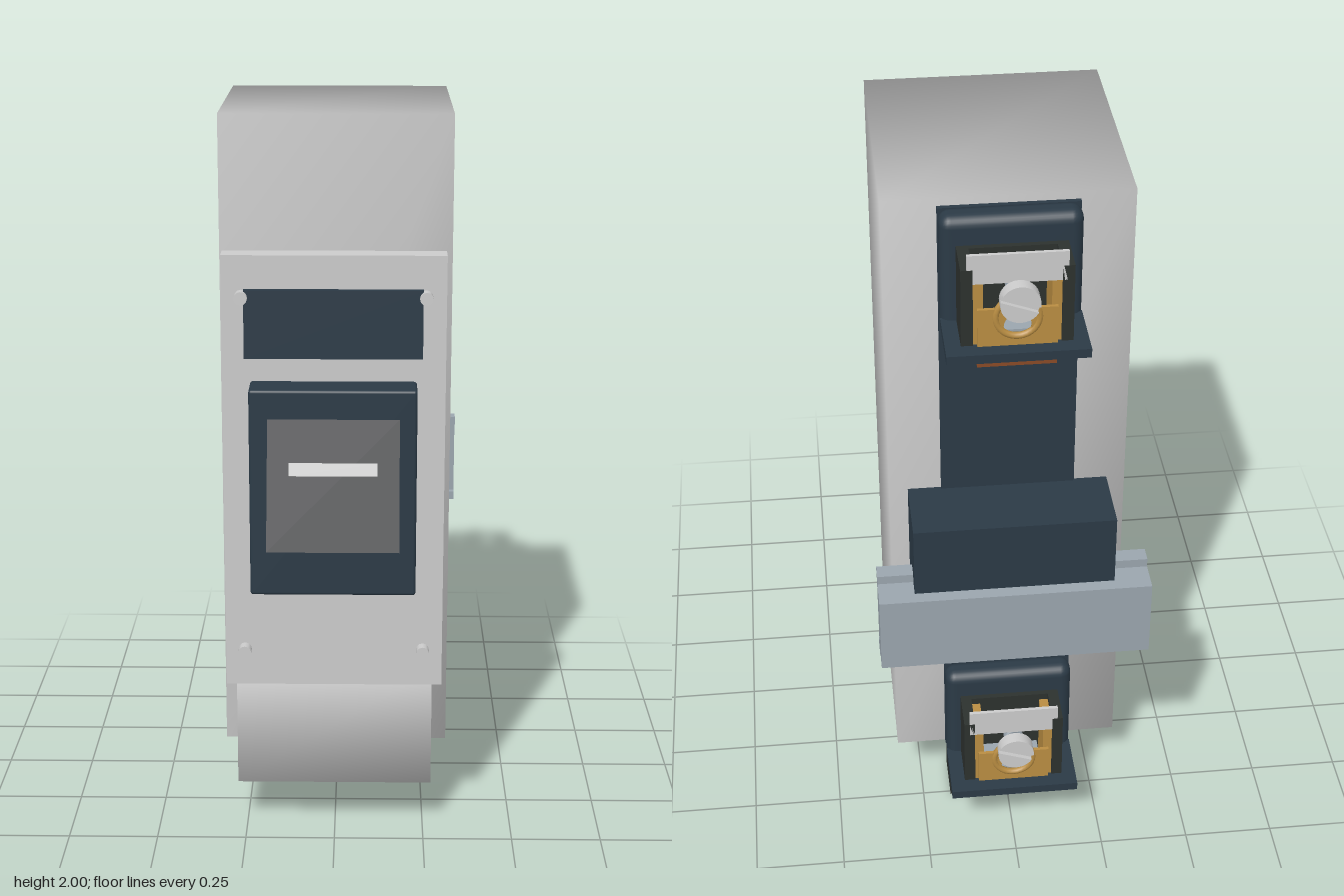
import * as THREE from 'three';
import { mergeVertices } from 'three/addons/utils/BufferGeometryUtils.js';
import { RoundedBoxGeometry } from 'three/addons/geometries/RoundedBoxGeometry.js';

const paint = (color) => new THREE.MeshStandardMaterial({ color });
const grey = paint(0xcccccc);
const navy = paint(0x2b3a46);
const black = paint(0x181b22);
const charcoal = paint(0x2c312e);
const steel = paint(0x9aa5ae);
const brass = paint(0xb98d42);
const copper = paint(0x8a4a26);

function add(parent, name, geometry, material, x = 0, y = 0, z = 0) {
  const mesh = new THREE.Mesh(geometry, material);
  mesh.name = name;
  mesh.position.set(x, y, z);
  parent.add(mesh);
  return mesh;
}

// Box from its limits on each axis
function box(parent, name, material, [x0, x1], [y0, y1], [z0, z1], radius = 0) {
  const size = [x1 - x0, y1 - y0, z1 - z0];
  const geometry = radius ? new RoundedBoxGeometry(...size, 3, radius) : new THREE.BoxGeometry(...size);
  return add(parent, name, geometry, material, (x0 + x1) / 2, (y0 + y1) / 2, (z0 + z1) / 2);
}

// Shared corner normals give softly shaded sheet-metal boxes
function soften(mesh) {
  mesh.geometry.deleteAttribute('normal');
  mesh.geometry.deleteAttribute('uv');
  mesh.geometry = mergeVertices(mesh.geometry);
  mesh.geometry.computeVertexNormals();
}

// Extrude a [z, y] side profile across the width
function sideProfile(points, halfWidth) {
  const shape = new THREE.Shape(points.map(([z, y]) => new THREE.Vector2(-z, y)));
  return new THREE.ExtrudeGeometry(shape, { depth: 2 * halfWidth, bevelEnabled: false })
    .translate(0, 0, -halfWidth).rotateY(Math.PI / 2);
}

// Cylinder lying along z
const rod = (radius, length, sides = 20) =>
  new THREE.CylinderGeometry(radius, radius, length, sides).rotateX(Math.PI / 2);

// Helix along z, starting at zero
function coil(rx, ry, length, turns, wire) {
  const points = [];
  for (let i = 0; i <= turns * 12; i++) {
    const a = (i / 12) * Math.PI * 2;
    points.push(new THREE.Vector3(rx * Math.cos(a), ry * Math.sin(a), length * i / (turns * 12)));
  }
  return new THREE.TubeGeometry(new THREE.CatmullRomCurve3(points), turns * 20, wire, 6);
}

// Slotted clamp screw whose head points to -z
function clampScrew() {
  const screw = new THREE.Group();
  screw.name = 'clampScrew';
  add(screw, 'screwShank', rod(0.018, 0.11), steel, 0, 0, 0.05);
  add(screw, 'screwThread', coil(0.022, 0.022, 0.1, 6, 0.006), steel);
  add(screw, 'screwHeadBase', rod(0.05, 0.023, 28), grey, 0, 0, -0.0115);
  for (const turn of [0, Math.PI]) {
    const half = new THREE.Shape();
    half.absarc(0, 0, 0.05, 0.16, Math.PI - 0.16, false);
    const geometry = new THREE.ExtrudeGeometry(half, { depth: 0.012, bevelEnabled: false, curveSegments: 16 });
    add(screw, 'screwHeadHalf', geometry, grey, 0, 0, -0.035).rotation.z = turn + 0.35;
  }
  return screw;
}

function terminal(y) {
  const t = new THREE.Group();
  t.name = 'terminal';
  t.position.y = y;
  box(t, 'terminalPlate', navy, [-0.18, 0.18], [-0.01, 0.315], [-0.545, -0.47], 0.03);
  box(t, 'terminalShelf', navy, [-0.18, 0.18], [0, 0.025], [-0.71, -0.53]);
  box(t, 'terminalFloor', steel, [-0.08, 0.08], [0.025, 0.06], [-0.655, -0.54]);
  box(t, 'terminalBack', charcoal, [-0.14, 0.14], [0.025, 0.24], [-0.56, -0.54]);
  for (const s of [-1, 1]) {
    const wall = (a, b) => [Math.min(s * a, s * b), Math.max(s * a, s * b)];
    box(t, 'terminalWall', charcoal, wall(0.11, 0.14), [0.025, 0.24], [-0.665, -0.545]);
    box(t, 'clampSide', brass, wall(0.085, 0.11), [0.025, 0.22], [-0.66, -0.56]);
  }
  // Brass clamp face with a round opening
  const face = new THREE.Shape([[-0.1, 0.025], [0.1, 0.025], [0.1, 0.13], [-0.1, 0.13]]
    .map((p) => new THREE.Vector2(...p)));
  const hole = new THREE.Path();
  hole.absarc(0, 0.08, 0.035, 0, Math.PI * 2, true);
  face.holes.push(hole);
  add(t, 'clampFace', new THREE.ExtrudeGeometry(face, { depth: 0.01, bevelEnabled: false }), brass, 0, 0, -0.672);
  add(t, 'clampRing', new THREE.TorusGeometry(0.055, 0.009, 8, 28), brass, 0, 0.105, -0.668);
  box(t, 'copperTab', copper, [-0.1, 0.1], [-0.04, 0], [-0.665, -0.6]);
  box(t, 'washerPlate', grey, [-0.125, 0.125], [0.2, 0.28], [-0.665, -0.655]);
  const screw = clampScrew();
  screw.position.set(0, 0.175, -0.695);
  t.add(screw);
  return t;
}

export function createModel() {
  const model = new THREE.Group();
  model.name = 'circuitBreaker';

  // Housing
  soften(box(model, 'housing', grey, [-0.32, 0.32], [0.18, 2], [-0.465, 0.215]));
  soften(box(model, 'lowerHousing', grey, [-0.275, 0.272], [0.13, 0.47], [-0.13, 0.41]));

  // Front panel and gasket frame
  box(model, 'frontPanel', grey, [-0.3, 0.297], [0.45, 1.66], [0.388, 0.456]);
  const gasket = new THREE.Shape([[-0.295, 0.457], [0.293, 0.457], [0.293, 1.653], [-0.295, 1.653]]
    .map((p) => new THREE.Vector2(...p)));
  gasket.holes.push(new THREE.Path([[-0.275, 0.477], [-0.275, 1.633], [0.273, 1.633], [0.273, 0.477]]
    .map((p) => new THREE.Vector2(...p))));
  add(model, 'gasket', new THREE.ExtrudeGeometry(gasket, { depth: 0.026, bevelEnabled: false }), black, 0, 0, 0.363);
  box(model, 'labelPlate', navy, [-0.24, 0.235], [1.385, 1.57], [0.45, 0.475]);
  for (const x of [-0.247, 0.243]) {
    for (const y of [0.555, 1.55]) {
      add(model, 'panelScrewHead', rod(0.018, 0.034, 12), grey, x, y, 0.471);
      add(model, 'panelScrewTip', rod(0.01, 0.06, 10), grey, x, y, 0.375);
    }
  }

  // Rocker switch
  box(model, 'switchBase', navy, [-0.225, 0.22], [0.75, 1.32], [0.45, 0.557], 0.008);
  const rocker = [[0.605, 1.255], [0.725, 0.93], [0.54, 0.868], [0.54, 1.232]];
  add(model, 'rocker', sideProfile(rocker, 0.173), black);
  add(model, 'indicatorBar', new THREE.BoxGeometry(0.23, 0.034, 0.03), grey, 0, 1.135, 0.662).rotation.x = -0.35;

  // Back strip, rail clip and mounting rail
  box(model, 'backStrip', navy, [-0.18, 0.18], [0.18, 1.98], [-0.478, -0.46]);
  box(model, 'railClip', navy, [-0.27, 0.27], [0.8, 1.12], [-0.665, -0.47]);
  const rail = [[-0.7, 0.69], [-0.7, 0.915], [-0.615, 0.915], [-0.615, 0.94], [-0.57, 0.94], [-0.57, 0.915],
    [-0.595, 0.915], [-0.595, 0.69], [-0.57, 0.69], [-0.57, 0.665], [-0.615, 0.665], [-0.615, 0.69]];
  add(model, 'mountingRail', sideProfile(rail, 0.367), steel);

  // Terminals
  model.add(terminal(1.67), terminal(0.182));

  // Sprung foot
  box(model, 'releaseFoot', charcoal, [-0.172, 0.17], [0, 0.095], [-0.512, -0.38]);
  add(model, 'footSpring', coil(0.025, 0.04, 0.1, 3, 0.006).rotateX(-Math.PI / 2), steel, 0, 0.09, -0.425);

  return model;
}
